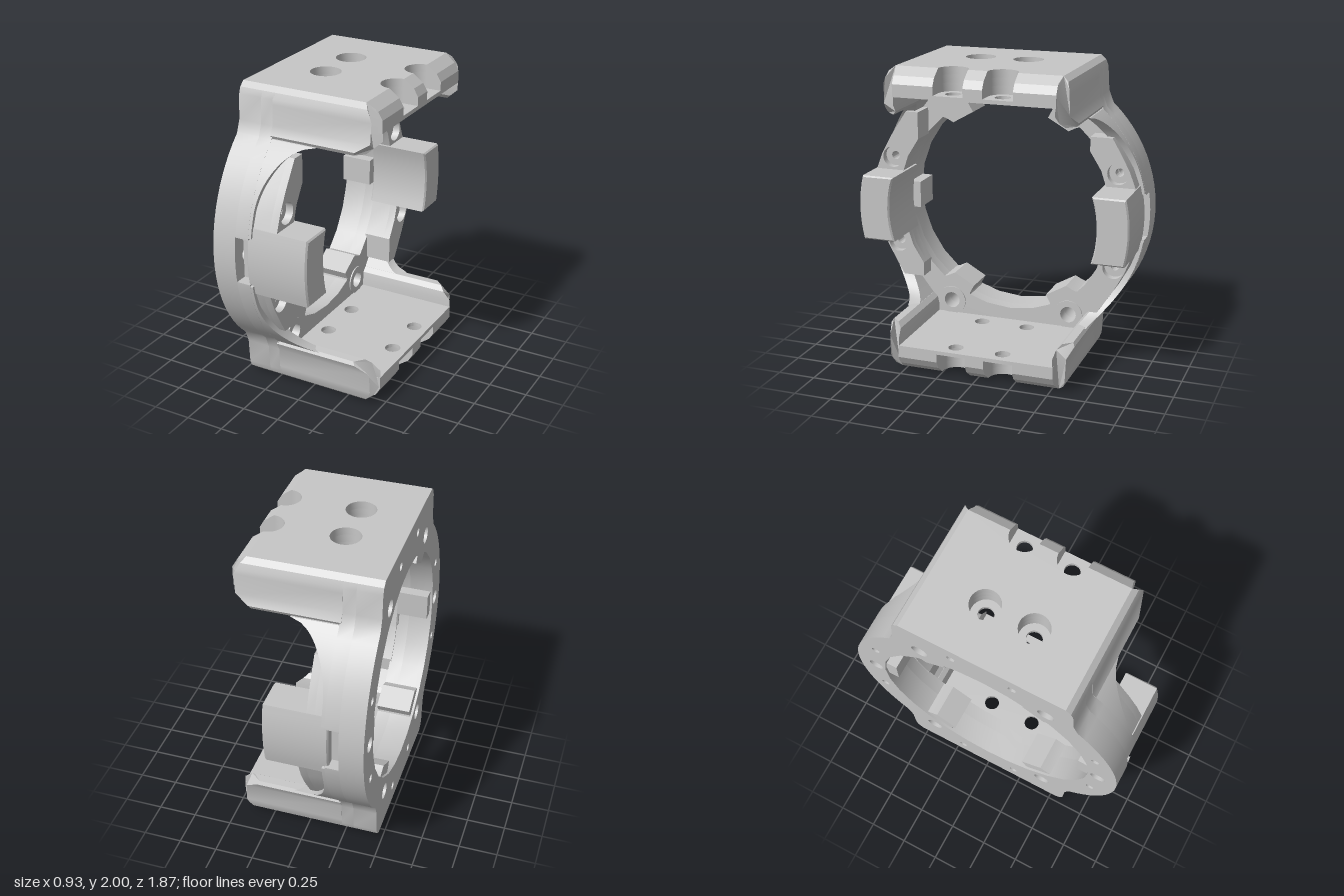
import * as THREE from 'three';
import { toCreasedNormals } from 'three/addons/utils/BufferGeometryUtils.js';

const metal = new THREE.MeshStandardMaterial({ color: 0xc7c7c7 });
metal.name = 'plain grey';

const FRONT = 0.467; // front end of the arms
const BACK = -0.466; // flat back of the ring

const rad = (d) => (d * Math.PI) / 180;
const polar = (r, d) => [r * Math.cos(rad(d)), r * Math.sin(rad(d))];
const arc = (r, from, to, n) =>
  Array.from({ length: n + 1 }, (_, i) => polar(r, from + ((to - from) * i) / n));

// Outlines always run counter-clockwise so that drilled holes face the right way
function shapeOf(pts) {
  const v = pts.map(([a, b]) => new THREE.Vector2(a, b));
  return new THREE.Shape(THREE.ShapeUtils.isClockWise(v) ? v.reverse() : v);
}

function drill(shape, a, b, r) {
  const hole = new THREE.Path();
  hole.absarc(a, b, r, 0, Math.PI * 2, true);
  shape.holes.push(hole);
}

function mesh(name, geometry) {
  const m = new THREE.Mesh(toCreasedNormals(geometry, 0.5), metal);
  m.name = name;
  return m;
}

// Extrudes a cross-section (-z, height) along x; frontX(s, v) can reshape the front end
function alongX(name, shape, x0, x1, { frontX = null, bevel = 0 } = {}) {
  const g = new THREE.ExtrudeGeometry(shape, {
    depth: x1 - x0 - bevel, curveSegments: 14, bevelEnabled: bevel > 0,
    bevelSize: bevel, bevelThickness: bevel, bevelOffset: -bevel, bevelSegments: 1,
  });
  g.translate(0, 0, x0);
  if (frontX) {
    const p = g.attributes.position;
    for (let i = 0; i < p.count; i++) {
      if (p.getZ(i) > x0 + 1e-4) p.setZ(i, frontX(p.getX(i), p.getY(i)));
    }
  }
  g.rotateY(Math.PI / 2);
  return mesh(name, g);
}

// Ring outline; the notched version leaves a pocket in each side
function ringShape(notched) {
  const corner = [[0.54, 1], [0.575, 0.97], [0.59, 0.93], [0.6, 0.77]];
  const upper = arc(0.935, 47.5, 10, 9);
  const middle = notched
    ? [[0.922, 0.15], [0.84, 0.15], [0.84, -0.15], [0.922, -0.15]]
    : arc(0.935, 6, -6, 3);
  const flip = (pts, a, b) => pts.map(([s, v]) => [s * a, v * b]);
  const quarter = [...corner, ...upper];
  const right = [...quarter, ...middle, ...flip(quarter, 1, -1).reverse()];
  const shape = shapeOf([...right, ...flip(right, -1, -1)]);
  const opening = new THREE.Path();
  opening.absarc(0, 0, 0.738, 0, Math.PI * 2, true);
  shape.holes.push(opening);
  for (const a of [-1, 1]) {
    for (const b of [-1, 1]) {
      drill(shape, a * 0.42, b * 0.73, 0.055);
      drill(shape, a * 0.77, b * 0.305, 0.028);
      drill(shape, a * 0.2, b * 0.88, 0.028);
    }
    if (!notched) drill(shape, a * 0.805, 0, 0.05);
  }
  return shape;
}

// One layer of the arm slab with two rear holes and two front holes or slots;
// the front edge runs from x = front0 at the bottom to front1 at the top
function slabLayer(v0, v1, r, slots, front0, front1) {
  const s = new THREE.Shape();
  s.moveTo(-0.23, -0.525);
  s.lineTo(FRONT, -0.525);
  for (const c of [-0.16, 0.16]) {
    if (!slots) continue;
    s.lineTo(FRONT, c - r);
    s.lineTo(0.37, c - r);
    s.absarc(0.37, c, r, -Math.PI / 2, Math.PI / 2, true);
    s.lineTo(FRONT, c + r);
  }
  s.lineTo(FRONT, 0.525);
  s.lineTo(-0.23, 0.525);
  for (const c of [-0.16, 0.16]) {
    drill(s, -0.115, c, r);
    if (!slots) drill(s, 0.37, c, r);
  }
  const g = new THREE.ExtrudeGeometry(s, { depth: v1 - v0, bevelEnabled: false, curveSegments: 14 });
  const p = g.attributes.position;
  for (let i = 0; i < p.count; i++) {
    p.setX(i, Math.min(p.getX(i), p.getZ(i) > 0.01 ? front1 : front0));
  }
  g.rotateX(-Math.PI / 2);
  g.translate(0, v0, 0);
  return mesh('armSlab', g);
}

// Front limit of the curved web at height v: a hollow fillet from ring to arm
function webFront(v) {
  const t = Math.min(1, Math.max(0, (v - 0.3) / 0.39));
  return 0.08 - 0.28 * Math.sqrt(1 - t * t);
}

// Curved web sweeping from the ring into a rail, built from four-cornered sections
// whose inner edge turns from facing the ring centre to lying under the rail
function createWeb(side) {
  const steps = 24;
  const pos = [];
  const index = [];
  const tri = (a, b, c) => index.push(...(side < 0 ? [a, b, c] : [a, c, b]));
  for (let i = 0; i <= steps; i++) {
    const t = i / steps;
    const angle = 10 + 38 * t;
    const [so, vo] = polar(0.934, angle);
    const [ds, dv] = polar(0.075, angle * (1 - t * t) - 8 * t * t);
    const x = webFront(vo);
    pos.push(-0.24, vo, -so * side, x, vo, -so * side);
    pos.push(x - 0.01, vo - dv, (ds - so) * side, -0.24, vo - dv, (ds - so) * side);
    if (i === steps) continue;
    for (let k = 0; k < 4; k++) {
      const a = i * 4 + k;
      const b = i * 4 + ((k + 1) % 4);
      tri(a, b, b + 4);
      tri(a, b + 4, a + 4);
    }
  }
  const e = steps * 4;
  tri(0, 2, 1);
  tri(0, 3, 2);
  tri(e, e + 1, e + 2);
  tri(e, e + 2, e + 3);
  const g = new THREE.BufferGeometry();
  g.setAttribute('position', new THREE.Float32BufferAttribute(pos, 3));
  g.setIndex(index);
  return mesh('armWeb', g);
}

function createArm() {
  const arm = new THREE.Group();
  arm.name = 'arm';
  arm.add(slabLayer(0.82, 0.845, 0.05, false, FRONT, FRONT));
  arm.add(slabLayer(0.845, 0.9, 0.097, true, FRONT, FRONT));
  arm.add(slabLayer(0.9, 0.95, 0.097, true, FRONT, 0.438));
  arm.add(slabLayer(0.95, 1, 0.097, true, 0.438, 0.37));

  // Rounded rails along both edges of the slab
  const rail = [[0.52, 1], [0.54, 1], [0.575, 0.97], [0.59, 0.93], [0.595, 0.9], [0.6, 0.77],
    [0.628, 0.715], [0.615, 0.692], [0.56, 0.69], [0.53, 0.72], [0.52, 0.77], [0.52, 0.9], [0.52, 0.95]];
  const railEnd = (s, v) => FRONT - Math.max(0, v - 0.9) * 0.58 - Math.max(0, v - 0.95) * 0.78
    - Math.max(0, 0.77 - v) * 1.1 - Math.max(0, Math.abs(s) - 0.56);
  for (const side of [-1, 1]) {
    const place = (pts) => shapeOf(pts.map(([s, v]) => [s * side, v]));
    arm.add(alongX('armRail', place(rail), -0.23, FRONT, { frontX: railEnd }));
    arm.add(createWeb(side));

    // Raised screw seat and angled locating tab inside the ring
    const seat = new THREE.Shape();
    seat.absarc(side * 0.42, 0.73, 0.098, 0, Math.PI * 2, false);
    drill(seat, side * 0.42, 0.73, 0.055);
    arm.add(alongX('screwSeat', seat, -0.23, -0.212));
    const tab = [[0.4, 0.53], [0.26, 0.61], [0.29, 0.665], [0.275, 0.72], [0.36, 0.68],
      [0.48, 0.6], [0.5, 0.57], [0.45, 0.555]];
    arm.add(alongX('locatingTab', place(tab), -0.45, -0.22));
  }
  return arm;
}

// Side pad: a tall block with a screw plate above and below
function createPad() {
  const pad = new THREE.Group();
  pad.name = 'sidePad';
  const block = [...arc(0.916, 166.2, 193.8, 8), ...arc(0.706, 198, 162, 8)];
  pad.add(alongX('padBlock', shapeOf(block), -0.23, 0.175, { bevel: 0.01 }));
  const plates = [
    { top: 0.62, front: -0.04, sign: 1, rim: 0.665 },
    { top: 0.535, front: -0.1, sign: -1, rim: 0.725 },
  ];
  for (const { top, front, sign, rim } of plates) {
    const outline = [[-0.58, top], [-rim, top], [-0.775, 0.45], [-0.84, 0.33], [-0.89, 0.2],
      [-0.695, 0.2], [-0.655, 0.32], [-0.58, 0.44]].map(([s, v]) => [s, v * sign]);
    const layers = [[-0.23, front - 0.05, 0.028], [front - 0.05, front, 0.07]];
    for (const [x0, x1, r] of layers) {
      const shape = shapeOf(outline);
      drill(shape, -0.765, 0.305 * sign, r);
      pad.add(alongX('padPlate', shape, x0, x1));
    }
  }
  return pad;
}

export function createModel() {
  const model = new THREE.Group();
  model.name = 'ringBracket';
  const body = new THREE.Group();
  body.name = 'body';
  body.position.y = 1;
  model.add(body);

  // Ring in two layers, the front one with side pockets
  body.add(alongX('ringBack', ringShape(false), BACK, -0.31));
  body.add(alongX('ringFront', ringShape(true), -0.31, -0.22));

  // Each half repeats, turned over about the x axis
  for (const turn of [0, Math.PI]) {
    const half = new THREE.Group();
    half.name = turn ? 'lowerHalf' : 'upperHalf';
    half.rotation.x = turn;
    const sideTab = shapeOf([[-0.655, 0.09], [-0.75, 0.09], [-0.75, -0.09], [-0.655, -0.09]]);
    half.add(createArm(), createPad(), alongX('sideTab', sideTab, -0.45, -0.24));
    body.add(half);
  }
  return model;
}
